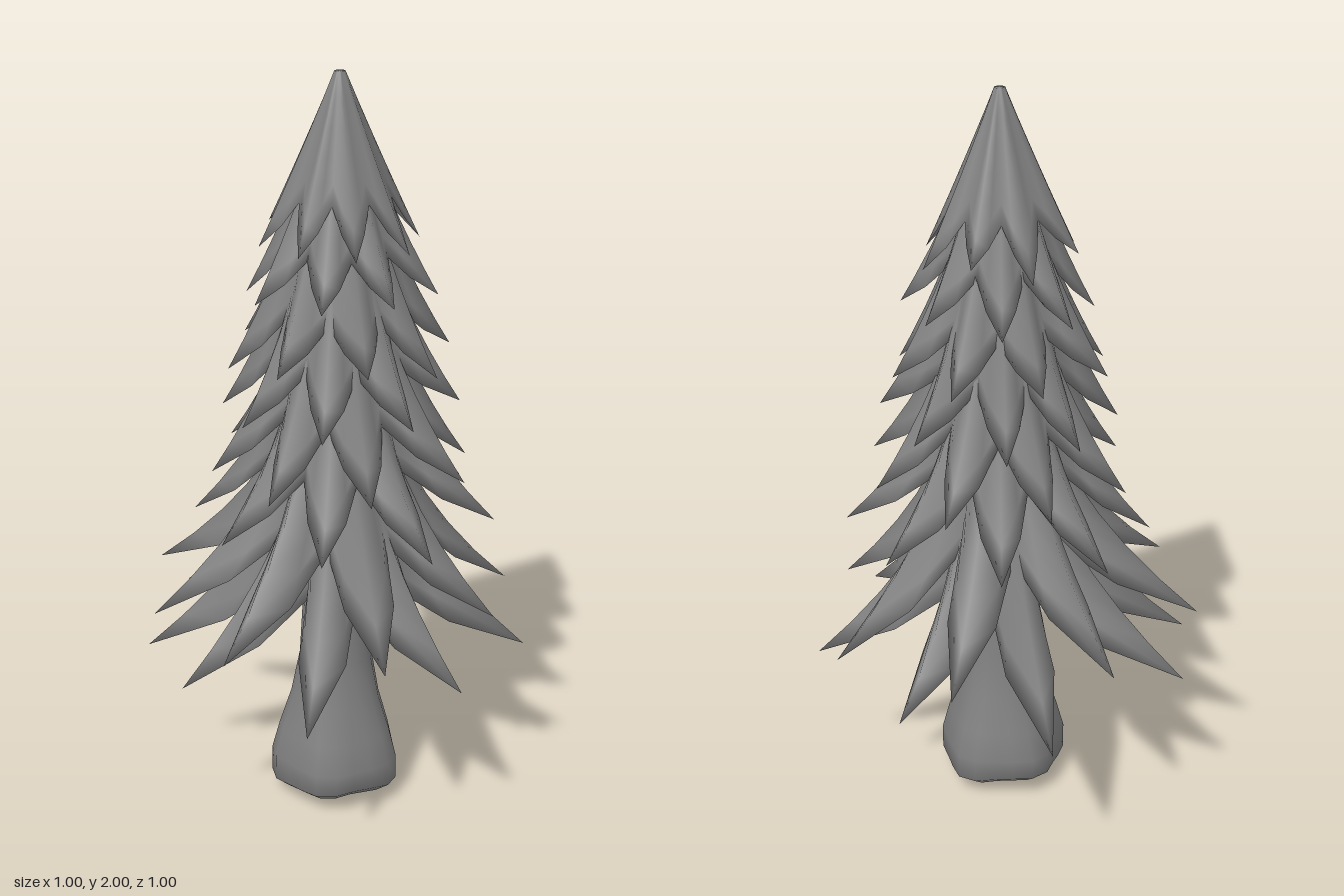
import * as THREE from 'three';

const lerp = THREE.MathUtils.lerp;
const AXIS_X = 0.005, AXIS_Z = 0.025;

// small seeded generator, returns -1..1
function seeded(seed) {
  let s = seed;
  return () => {
    s = (s * 16807) % 2147483647;
    return (s / 2147483647) * 2 - 1;
  };
}

// smooth surface through closed rings of points, ordered top to bottom
function loft(rings) {
  const n = rings[0].length, pos = [], index = [];
  rings.forEach((ring) => ring.forEach((p) => pos.push(p.x, p.y, p.z)));
  for (let i = 0; i < rings.length - 1; i++) {
    for (let j = 0; j < n; j++) {
      const k = (j + 1) % n;
      const a = i * n + j, b = i * n + k, c = a + n, d = b + n;
      index.push(a, b, c, b, d, c);
    }
  }
  const geo = new THREE.BufferGeometry();
  geo.setAttribute('position', new THREE.Float32BufferAttribute(pos, 3));
  geo.setIndex(index);
  geo.computeVertexNormals();
  return geo;
}

const polar = (r, angle, y) =>
  new THREE.Vector3(AXIS_X + r * Math.cos(angle), y, AXIS_Z + r * Math.sin(angle));

// one skirt of drooping pointed boughs; tips are {angle, r, y} sorted by angle
function boughTier(name, tips, [valleyY, valleyR, topY, topR, sweep], material) {
  // columns around the skirt: tip, shoulder, valley, shoulder
  const columns = [];
  tips.forEach((tip, i) => {
    const next = tips[(i + 1) % tips.length];
    const nextAngle = next.angle + (i === tips.length - 1 ? Math.PI * 2 : 0);
    const column = (from, f, reach, drop) => columns.push({
      angle: lerp(tip.angle, nextAngle, f),
      r: lerp(valleyR, from.r, reach),
      y: lerp(valleyY, from.y, drop),
    });
    column(tip, 0, 1, 1);
    column(tip, 0.24, 0.42, 0.52);
    column(tip, 0.5, 0, 0);
    column(next, 0.76, 0.42, 0.52);
  });

  // upper side sweeps outwards as it falls
  const rings = [columns.map((c) => polar(0, c.angle, topY))];
  for (let i = 0; i <= 6; i++) {
    const t = i / 6;
    rings.push(columns.map((c) => polar(
      lerp(topR, c.r, sweep * t + (1 - sweep) * t * t), c.angle, lerp(topY, c.y, t))));
  }
  // hollow underside runs back to the trunk
  [0.3, 0.65, 1].forEach((t) => rings.push(columns.map((c) => polar(
    lerp(c.r, 0.06, t), c.angle,
    lerp(c.y, valleyY + 0.02, t) + 0.16 * t * (1 - t)))));

  const tier = new THREE.Mesh(loft(rings), material);
  tier.name = name;
  return tier;
}

// placed x, z, y tips of a wide lower tier
function tipsFrom(points) {
  return points.map(([x, z, y]) => ({
    angle: Math.atan2(z - AXIS_Z, x - AXIS_X), r: Math.hypot(x - AXIS_X, z - AXIS_Z), y,
  })).sort((a, b) => a.angle - b.angle);
}

// eight evenly spread tips with slight irregularity
function tipsAround(r, y, turn, rand) {
  return Array.from({ length: 8 }, (_, i) => ({
    angle: ((i + turn + 0.08 * rand()) / 8) * Math.PI * 2,
    r: r * (1 + 0.04 * rand()),
    y: y + 0.025 * rand(),
  }));
}

// trunk with a lobed, flared foot
function trunkGeometry() {
  const profile = [[0.78, 0.085], [0.55, 0.091], [0.42, 0.098], [0.3, 0.12],
    [0.2, 0.15], [0.12, 0.169], [0.055, 0.168], [0.025, 0.13], [0.008, 0.07], [0.015, 0]];
  const sides = 20;
  return loft(profile.map(([y, r]) => Array.from({ length: sides }, (_, j) => {
    const a = (j / sides) * Math.PI * 2;
    const lobe = 1 + 0.08 * Math.max(0, 1 - y / 0.45) * Math.cos(5 * a + 0.6);
    const uneven = y < 0.1 ? 0.008 * Math.cos(2 * a - 4) : 0;
    return new THREE.Vector3(
      r * lobe * Math.cos(a) - 0.015, y + uneven, r * lobe * Math.sin(a) + 0.037);
  })));
}

export function createModel() {
  const model = new THREE.Group();
  model.name = 'firTree';
  const material = new THREE.MeshStandardMaterial({ color: 0x808080 });

  const trunk = new THREE.Mesh(trunkGeometry(), material);
  trunk.name = 'trunk';
  model.add(trunk);

  const foliage = new THREE.Group();
  foliage.name = 'foliage';
  model.add(foliage);

  // upper tiers: tip y, tip r, turn, then valley y, valley r, top y, top r, sweep
  const rand = seeded(4271);
  [
    [1.58, 0.21, 0.5, 1.69, 0.13, 2.0, 0.014, 0.95],
    [1.43, 0.25, 0, 1.55, 0.145, 1.85, 0.06, 0.8],
    [1.27, 0.285, 0.5, 1.39, 0.16, 1.7, 0.09, 0.75],
    [1.14, 0.305, 0, 1.26, 0.17, 1.56, 0.11, 0.7],
    [0.98, 0.355, 0.5, 1.12, 0.18, 1.42, 0.12, 0.6],
    [0.82, 0.405, 0, 0.98, 0.19, 1.28, 0.12, 0.45],
  ].forEach(([y, r, turn, ...skirt], i) => {
    const tips = tipsAround(r, y, turn, rand);
    foliage.add(boughTier(`tier${i + 1}`, tips, skirt, material));
  });

  // two widest tiers, alternating boughs
  const raised = tipsFrom([[0.475, -0.26, 0.58], [0.5, 0.145, 0.54], [0.225, 0.41, 0.6],
    [-0.195, 0.485, 0.59], [-0.5, 0.22, 0.6], [-0.485, -0.135, 0.6],
    [-0.275, -0.44, 0.6], [0.12, -0.49, 0.59]]);
  foliage.add(boughTier('tier7', raised, [0.79, 0.19, 1.13, 0.13, 0.35], material));

  const lowest = tipsFrom([[0.48, -0.07, 0.43], [0.4, 0.34, 0.44], [0.045, 0.5, 0.47],
    [-0.37, 0.395, 0.43], [-0.5, 0.02, 0.45], [-0.42, -0.28, 0.43],
    [-0.15, -0.5, 0.47], [0.31, -0.455, 0.43]]);
  foliage.add(boughTier('tier8', lowest, [0.63, 0.16, 0.97, 0.13, 0.42], material));

  return model;
}
